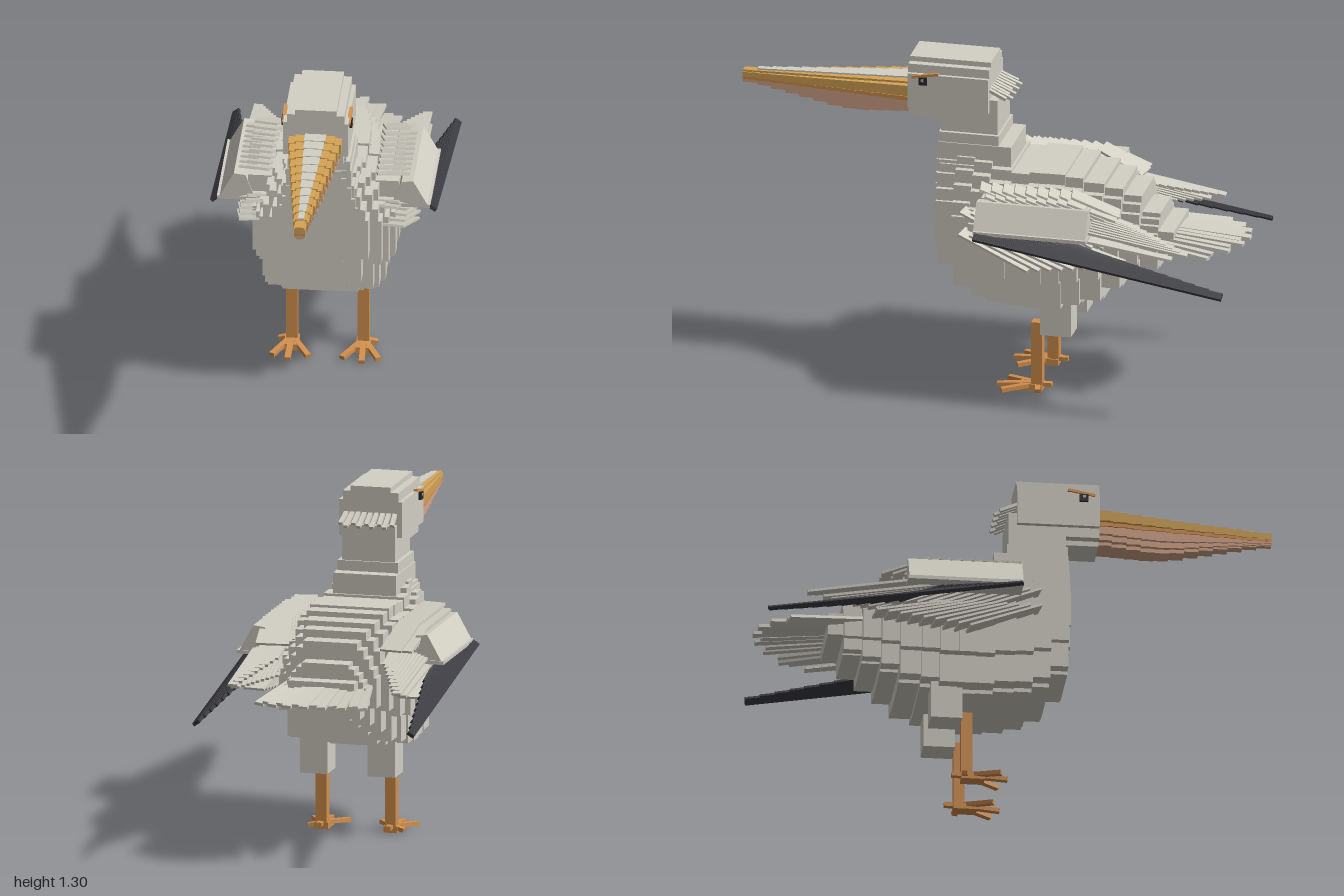
import * as THREE from 'three';

const mat = (name, color) => Object.assign(new THREE.MeshStandardMaterial({ color }), { name });

export function createModel() {
  const plumage = mat('plumage grey', 0xd3d0c4);
  const black = mat('wing black', 0x3a3a40);
  const ochre = mat('bill ochre', 0xd6a456);
  const pink = mat('pouch pink', 0xd6a68a);
  const orange = mat('leg orange', 0xd4914f);
  const eyeDark = mat('eye dark', 0x2a2a2e);
  const eyeGlint = mat('eye glint', 0x9fb0b8);

  const root = new THREE.Group();
  root.name = 'bird';
  const group = (name) => {
    const g = new THREE.Group();
    g.name = name;
    root.add(g);
    return g;
  };
  const add = (parent, name, geo, m) => {
    const mesh = new THREE.Mesh(geo, m);
    mesh.name = name;
    parent.add(mesh);
    return mesh;
  };
  // Box given by its extents
  const box = (parent, name, m, x0, x1, y0, y1, z0, z1) => {
    const mesh = add(parent, name, new THREE.BoxGeometry(Math.abs(x1 - x0), y1 - y0, Math.abs(z1 - z0)), m);
    mesh.position.set((x0 + x1) / 2, (y0 + y1) / 2, (z0 + z1) / 2);
    return mesh;
  };
  // Thin bar running from a to b, its width kept level unless rolled
  const feather = (parent, name, m, a, b, width, thick, roll = 0) => {
    const p = new THREE.Vector3(...a), q = new THREE.Vector3(...b);
    const mesh = add(parent, name, new THREE.BoxGeometry(width, thick, p.distanceTo(q)), m);
    mesh.position.copy(p).add(q).multiplyScalar(0.5);
    mesh.lookAt(q);
    mesh.rotateZ(roll);
    return mesh;
  };
  const extrude = (parent, name, m, points, z0, z1) => {
    const shape = new THREE.Shape(points.map(([x, y]) => new THREE.Vector2(x, y)));
    const geo = new THREE.ExtrudeGeometry(shape, { depth: z1 - z0, bevelEnabled: false });
    geo.translate(0, 0, z0);
    return add(parent, name, geo, m);
  };
  // Slab with stepped sides; each step is [half width, y where it ends]
  const steppedSlab = (parent, name, m, y0, steps, z0, z1) => {
    const right = [];
    let y = y0;
    for (const [w, yEnd] of steps) {
      right.push([w, y], [w, yEnd]);
      y = yEnd;
    }
    const left = right.map(([x, yy]) => [-x, yy]).reverse();
    return extrude(parent, name, m, [...right, ...left], z0, z1);
  };

  // Body: slabs from breast to rump [zBack, zFront, bottom, top, half width]
  const body = group('body');
  const slabs = [
    [0.19, 0.213, 0.58, 0.98, 0.15], [0.13, 0.203, 0.48, 0.95, 0.19],
    [0.06, 0.13, 0.41, 0.93, 0.235], [-0.01, 0.06, 0.38, 0.92, 0.255],
    [-0.09, -0.01, 0.37, 0.9, 0.275], [-0.16, -0.09, 0.36, 0.89, 0.27],
    [-0.23, -0.16, 0.357, 0.9, 0.275], [-0.3, -0.23, 0.36, 0.9, 0.27],
    [-0.37, -0.3, 0.38, 0.89, 0.26], [-0.45, -0.37, 0.4, 0.87, 0.24],
    [-0.52, -0.45, 0.45, 0.85, 0.215], [-0.59, -0.52, 0.49, 0.82, 0.185],
    [-0.66, -0.59, 0.53, 0.75, 0.16],
  ];
  const girth = [[0.62, 0.03], [0.86, 0.24], [1, 0.6], [0.94, 0.7], [0.84, 0.82], [0.72, 0.92], [0.58, 1]];
  for (const [z0, z1, bottom, top, w] of slabs) {
    const steps = girth.map(([k, v]) => [w * k, bottom + (top - bottom) * v]);
    steppedSlab(body, 'bodySlab', plumage, bottom, steps, z0, z1);
  }

  // Neck
  const neck = group('neck');
  box(neck, 'neckBase', plumage, -0.145, 0.145, 0.78, 0.9, -0.08, 0.2);
  box(neck, 'neckLower', plumage, -0.125, 0.125, 0.88, 0.98, -0.08, 0.207);
  box(neck, 'neckMiddle', plumage, -0.12, 0.12, 0.96, 1.02, -0.03, 0.205);
  box(neck, 'neckUpper', plumage, -0.105, 0.105, 1.0, 1.16, -0.022, 0.2);

  // Head with crest and eyes
  const head = group('head');
  steppedSlab(head, 'skull', plumage, 1.05,
    [[0.07, 1.07], [0.105, 1.11], [0.125, 1.25], [0.11, 1.285], [0.08, 1.305]], 0.01, 0.328);
  for (let i = 0; i < 9; i++) {
    const x = -0.096 + i * 0.024;
    const long = i % 2 ? 0.02 : 0;
    feather(head, 'crestFeather', plumage, [x, 1.2, 0.015], [x * 1.06, 1.168 - long / 3, -0.055 - long], 0.017, 0.012);
  }
  for (const s of [1, -1]) {
    box(head, 'eye', eyeDark, s * 0.12, s * 0.136, 1.21, 1.24, 0.25, 0.282);
    box(head, 'eyeGlint', eyeGlint, s * 0.13, s * 0.138, 1.224, 1.234, 0.262, 0.272);
    feather(head, 'brow', orange, [s * 0.124, 1.238, 0.31], [s * 0.126, 1.257, 0.205], 0.014, 0.01);
  }

  // Bill: tapering steps with a ridge above and a sagging pouch below
  const bill = group('bill');
  const sag = [1.065, 1.06, 1.055, 1.05, 1.05, 1.055, 1.065, 1.075, 1.085, 1.095, 1.105, 1.112];
  const n = sag.length;
  for (let i = 0; i < n; i++) {
    const t = i / (n - 1);
    const z0 = 0.325 + (0.675 * i) / n, z1 = 0.325 + (0.675 * (i + 1)) / n;
    const w = 0.102 - 0.08 * t;
    const top = 1.197 - 0.033 * t;
    box(bill, 'upperBill', ochre, -w, w, 1.147 - 0.01 * t, top - 0.008, z0, z1);
    box(bill, 'upperBillCrown', ochre, -w * 0.75, w * 0.75, top - 0.01, top, z0, z1);
    if (i < n - 1) box(bill, 'billRidge', plumage, -w * 0.4, w * 0.4, top - 0.005, top + 0.006, z0, z1);
    box(bill, 'lowerBill', orange, -w * 0.94, w * 0.94, 1.127, 1.143 - 0.006 * t, z0, z1);
    box(bill, 'billCore', ochre, -w * 0.8, w * 0.8, 1.13, 1.16, z0, z1);
    const d = 1.128 - sag[i];
    steppedSlab(bill, 'pouch', pink, sag[i],
      [[w * 0.5, sag[i] + d * 0.2], [w * 0.72, sag[i] + d * 0.5], [w * 0.88, 1.128]], z0, z1);
  }

  // Tail fan
  const tail = group('tail');
  box(tail, 'tailBase', plumage, -0.13, 0.13, 0.6, 0.69, -0.72, -0.6);
  for (let i = 0; i < 13; i++) {
    const u = i / 6 - 1;
    const tipZ = -0.995 + 0.12 * u * u + (i % 2 ? 0.03 : 0);
    feather(tail, 'tailFeather', plumage, [0.15 * u, 0.675 - 0.02 * u * u, -0.58],
      [0.205 * u, 0.645 - 0.02 * u * u, tipZ], 0.036, 0.012, -0.15 * u);
  }

  for (const s of [1, -1]) {
    // Folded wing
    const wing = group(s > 0 ? 'leftWing' : 'rightWing');
    extrude(wing, 'wingArm', plumage,
      [[s * 0.27, 0.75], [s * 0.3, 0.83], [s * 0.345, 0.835], [s * 0.4, 0.735], [s * 0.33, 0.735]], -0.435, 0.005);
    box(wing, 'wingEdge', plumage, s * 0.26, s * 0.41, 0.722, 0.736, -0.44, 0.005);
    box(wing, 'shoulder', plumage, s * 0.2, s * 0.29, 0.76, 0.83, -0.42, 0.0);
    // Long dark flight feathers
    for (let i = 0; i < 10; i++) {
      const k = i / 9;
      feather(wing, 'flightFeather', black, [s * (0.36 + 0.06 * k), 0.718, -0.3 * (1 - k)],
        [s * (0.35 + 0.075 * k), 0.655 - 0.095 * k, -0.47 - 0.51 * k], 0.03, 0.014, s * 0.6);
    }
    // Overlapping upper and lower coverts
    for (let j = 0; j < 9; j++) {
      const dz = -0.045 * j;
      feather(wing, 'upperCovert', plumage, [s * 0.255, 0.865, 0.01 + dz], [s * 0.225, 0.785, -0.17 + dz], 0.09, 0.009);
      feather(wing, 'outerCovert', plumage, [s * 0.295, 0.85, -0.02 + dz * 0.9], [s * 0.275, 0.785, -0.17 + dz], 0.07, 0.009);
      feather(wing, 'lowerCovert', plumage, [s * 0.275, 0.68, 0.08 + dz], [s * 0.31, 0.565 + 0.006 * j, -0.2 + dz], 0.085, 0.009);
      feather(wing, 'frontCovert', plumage, [s * 0.245, 0.76, 0.08 + dz], [s * 0.27, 0.67, -0.13 + dz], 0.09, 0.009);
    }
    // Grey secondaries trailing behind
    for (let i = 0; i < 9; i++) {
      const k = i / 8;
      feather(wing, 'secondaryFeather', plumage, [s * (0.22 + 0.11 * k), 0.81 - 0.05 * k, -0.33],
        [s * (0.225 + 0.1 * k), 0.74 - 0.06 * k, -0.58 - 0.24 * k], 0.036, 0.01);
      feather(wing, 'underSecondary', plumage, [s * (0.24 + 0.1 * k), 0.73, -0.3],
        [s * (0.24 + 0.09 * k), 0.66, -0.52 - 0.24 * k], 0.036, 0.01);
    }

    // Leg and foot
    const leg = group(s > 0 ? 'leftLeg' : 'rightLeg');
    box(leg, 'thigh', plumage, s * 0.08, s * 0.188, 0.245, 0.42, -0.33, -0.208);
    box(leg, 'shank', orange, s * 0.116, s * 0.159, 0.02, 0.283, -0.21, -0.167);
    const ankle = [s * 0.1375, 0.026, -0.19];
    for (const [x, z] of [[0.205, -0.06], [0.143, -0.03], [0.065, -0.06], [0.19, -0.2]]) {
      feather(leg, 'toe', orange, ankle, [s * x, 0.013, z], 0.022, 0.016);
    }
    feather(leg, 'hindToe', orange, ankle, [s * 0.1375, 0.026, -0.245], 0.022, 0.016);
    box(leg, 'sole', orange, s * 0.11, s * 0.165, 0.002, 0.028, -0.21, -0.12);
  }
  return root;
}
